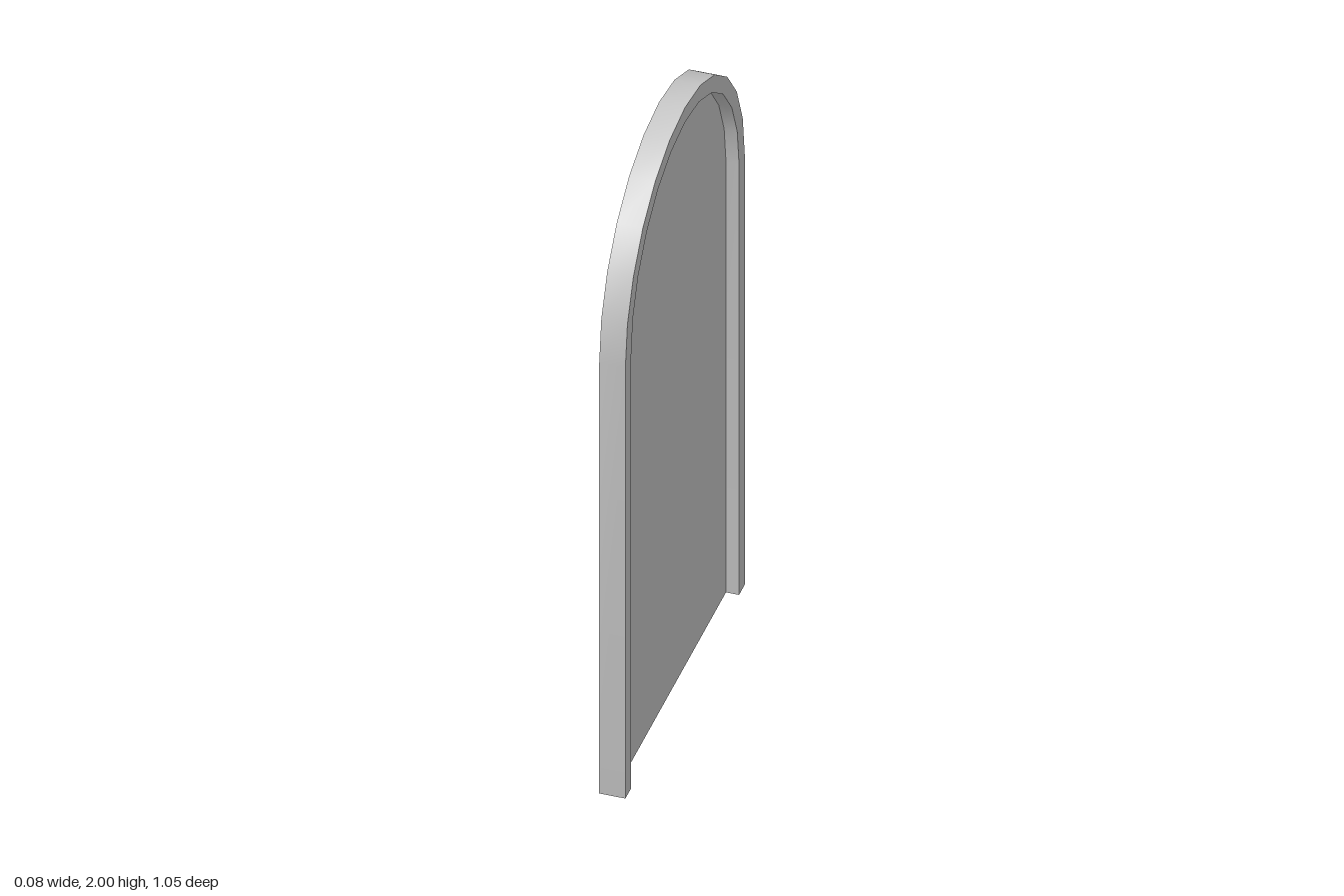
import * as THREE from 'three';
import { toCreasedNormals } from 'three/addons/utils/BufferGeometryUtils.js';

const OUTER = 0.525;    // half width of the frame
const INNER = 0.475;    // half width of the opening
const SPRING = 1.475;   // height where the arch begins
const DEPTH = 0.076;    // thickness of the frame
const SEGMENTS = 6;     // gives 12 facets over each half circle

export function createModel() {
  const group = new THREE.Group();
  group.name = 'archedPanel';

  const grey = new THREE.MeshStandardMaterial({ color: 0xcccccc, side: THREE.DoubleSide });
  grey.name = 'light grey';

  // Arched frame, open at the foot
  const frameShape = new THREE.Shape();
  frameShape.moveTo(OUTER, 0);
  frameShape.lineTo(OUTER, SPRING);
  frameShape.absarc(0, SPRING, OUTER, 0, Math.PI, false);
  frameShape.lineTo(-OUTER, 0);
  frameShape.lineTo(-INNER, 0);
  frameShape.lineTo(-INNER, SPRING);
  frameShape.absarc(0, SPRING, INNER, Math.PI, 0, true);
  frameShape.lineTo(INNER, 0);
  frameShape.closePath();

  const frameGeometry = new THREE.ExtrudeGeometry(frameShape, {
    depth: DEPTH, bevelEnabled: false, curveSegments: SEGMENTS,
  });
  frameGeometry.translate(0, 0, -DEPTH / 2);
  frameGeometry.rotateY(Math.PI / 2);
  const frame = new THREE.Mesh(toCreasedNormals(frameGeometry, 0.5), grey);
  frame.name = 'frame';
  group.add(frame);

  // Thin sheet filling the opening, midway through the frame
  const panelShape = new THREE.Shape();
  panelShape.moveTo(-INNER, 0);
  panelShape.lineTo(INNER, 0);
  panelShape.lineTo(INNER, SPRING);
  panelShape.absarc(0, SPRING, INNER, 0, Math.PI, false);
  panelShape.closePath();

  const panelGeometry = new THREE.ShapeGeometry(panelShape, SEGMENTS);
  panelGeometry.rotateY(Math.PI / 2);
  const panel = new THREE.Mesh(panelGeometry, grey);
  panel.name = 'panel';
  group.add(panel);

  return group;
}
